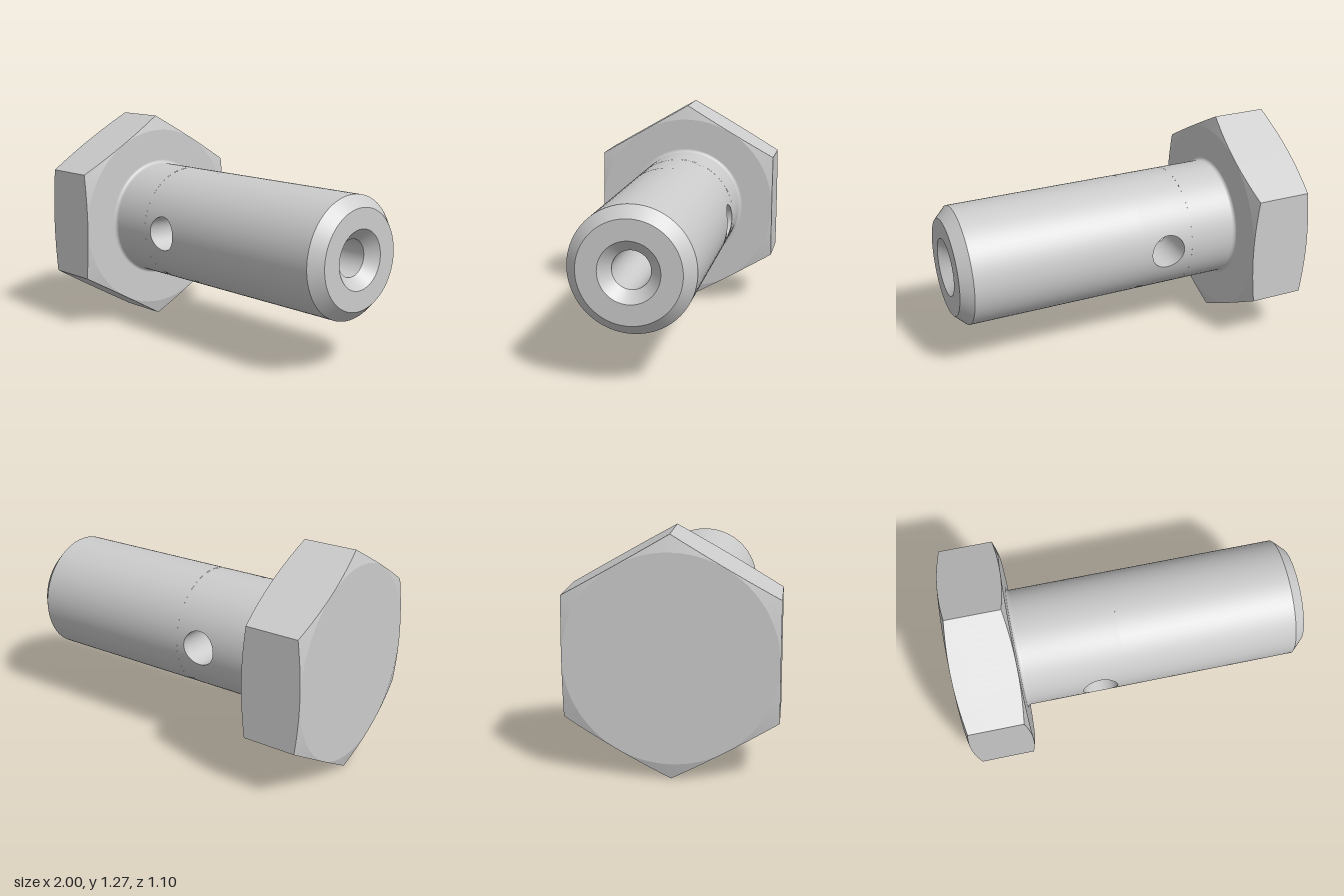
import * as THREE from 'three';
import { ParametricGeometry } from 'three/addons/geometries/ParametricGeometry.js';
import { mergeGeometries } from 'three/addons/utils/BufferGeometryUtils.js';

const CENTRE_Y = 0.635;              // height of the bolt axis
const SEG = 96;                      // segments around the axis
const HEAD_L = -1, HEAD_R = -0.645;  // head end planes
const FLAT = 0.55, FACE_R = 0.548;   // hex apothem, round face radius
const SHAFT_R = 0.34, BORE_R = 0.103;
const HOLE_R = 0.1, HOLE_X = -0.214; // cross hole
const OUTER_W = 0.15, INNER_W = 0.115; // half lengths of the drilled zones

export function createModel() {
  const steel = new THREE.MeshStandardMaterial({ color: 0xcccccc });
  steel.name = 'steel grey';
  const bolt = new THREE.Group();
  bolt.name = 'hollowBolt';
  bolt.position.y = CENTRE_Y;

  const add = (name, geometry) => {
    const mesh = new THREE.Mesh(geometry, steel);
    mesh.name = name;
    bolt.add(mesh);
    return mesh;
  };

  // Surface of revolution about x from [radius, x] points
  const turned = (name, points) => add(name, new THREE.LatheGeometry(
    points.map(([r, x]) => new THREE.Vector2(r, x)), SEG).rotateZ(-Math.PI / 2));

  // Hex head: each side has a flat bounded by two conical chamfers
  const slope = 0.27;
  const hexSurface = (radiusX) => {
    const sides = [];
    for (let k = 0; k < 6; k++) {
      sides.push(new ParametricGeometry((u, v, p) => {
        const local = (u - 0.5) * Math.PI / 3;
        const a = local + Math.PI / 6 + k * Math.PI / 3;
        const [r, x] = radiusX(FLAT / Math.cos(local), v);
        p.set(x, r * Math.cos(a), r * Math.sin(a));
      }, 16, 1));
    }
    return mergeGeometries(sides);
  };
  const cut = (r) => (r - FACE_R) * slope;
  add('headFlats', hexSurface((h, v) =>
    [h, THREE.MathUtils.lerp(HEAD_L + cut(h), HEAD_R - cut(h), v)]));
  add('headOuterChamfer', hexSurface((h, v) => {
    const r = THREE.MathUtils.lerp(FACE_R, h, v);
    return [r, HEAD_L + cut(r)];
  }));
  add('headInnerChamfer', hexSurface((h, v) => {
    const r = THREE.MathUtils.lerp(h, FACE_R, v);
    return [r, HEAD_R - cut(r)];
  }));
  turned('headTop', [[0, HEAD_L], [FACE_R, HEAD_L]]);
  turned('headSeat', [[FACE_R, HEAD_R], [0.36, HEAD_R]]);

  // Fillet under the head
  const fillet = [];
  for (let i = 0; i <= 6; i++) {
    const a = i / 6 * Math.PI / 2;
    fillet.push([0.36 - 0.02 * Math.sin(a), -0.625 - 0.02 * Math.cos(a)]);
  }
  turned('fillet', fillet);

  // Shaft, end chamfer and hollow bore
  turned('shaftNearHead', [[SHAFT_R, -0.625], [SHAFT_R, HOLE_X - OUTER_W]]);
  turned('shaft', [[SHAFT_R, HOLE_X + OUTER_W], [SHAFT_R, 0.935]]);
  turned('endChamfer', [[SHAFT_R, 0.935], [0.278, 1]]);
  turned('endFace', [[0.278, 1], [0.165, 1]]);
  turned('countersink', [[0.165, 1], [BORE_R, 0.938]]);
  turned('bore', [[BORE_R, 0.938], [BORE_R, HOLE_X + INNER_W]]);
  turned('boreEnd', [[BORE_R, HOLE_X - INNER_W], [BORE_R, -0.35]]);
  turned('drillPoint', [[BORE_R, -0.35], [0, -0.41]]);

  // Half cylinder wall with a round hole: blends from hole rim to patch border
  const drilledWall = (radius, halfLength, outward) => new ParametricGeometry((u, v, p) => {
    const t = u * Math.PI * 2, c = Math.cos(t), s = Math.sin(t);
    const k = outward ? 1 - v : v;
    const m = Math.max(Math.abs(c), Math.abs(s));
    const dx = THREE.MathUtils.lerp(HOLE_R * c, halfLength * c / m, k);
    const angle = THREE.MathUtils.lerp(Math.asin(HOLE_R * s / radius), Math.PI / 2 * s / m, k);
    p.set(HOLE_X + dx, radius * Math.sin(angle), radius * Math.cos(angle));
  }, SEG, 16);

  // Cross hole lining between bore and shaft surface
  const lining = new ParametricGeometry((u, v, p) => {
    const t = u * Math.PI * 2, y = HOLE_R * Math.sin(t);
    const z = THREE.MathUtils.lerp(
      Math.sqrt(SHAFT_R ** 2 - y * y), Math.sqrt(BORE_R ** 2 - y * y), v);
    p.set(HOLE_X + HOLE_R * Math.cos(t), y, z);
  }, SEG, 2);

  const outerWall = drilledWall(SHAFT_R, OUTER_W, true);
  const innerWall = drilledWall(BORE_R, INNER_W, false);
  for (const [side, turn] of [['front', 0], ['back', Math.PI]]) {
    add(side + 'ShaftWall', outerWall).rotation.x = turn;
    add(side + 'BoreWall', innerWall).rotation.x = turn;
    add(side + 'CrossHole', lining).rotation.x = turn;
  }

  const model = new THREE.Group();
  model.name = 'model';
  model.add(bolt);
  return model;
}
